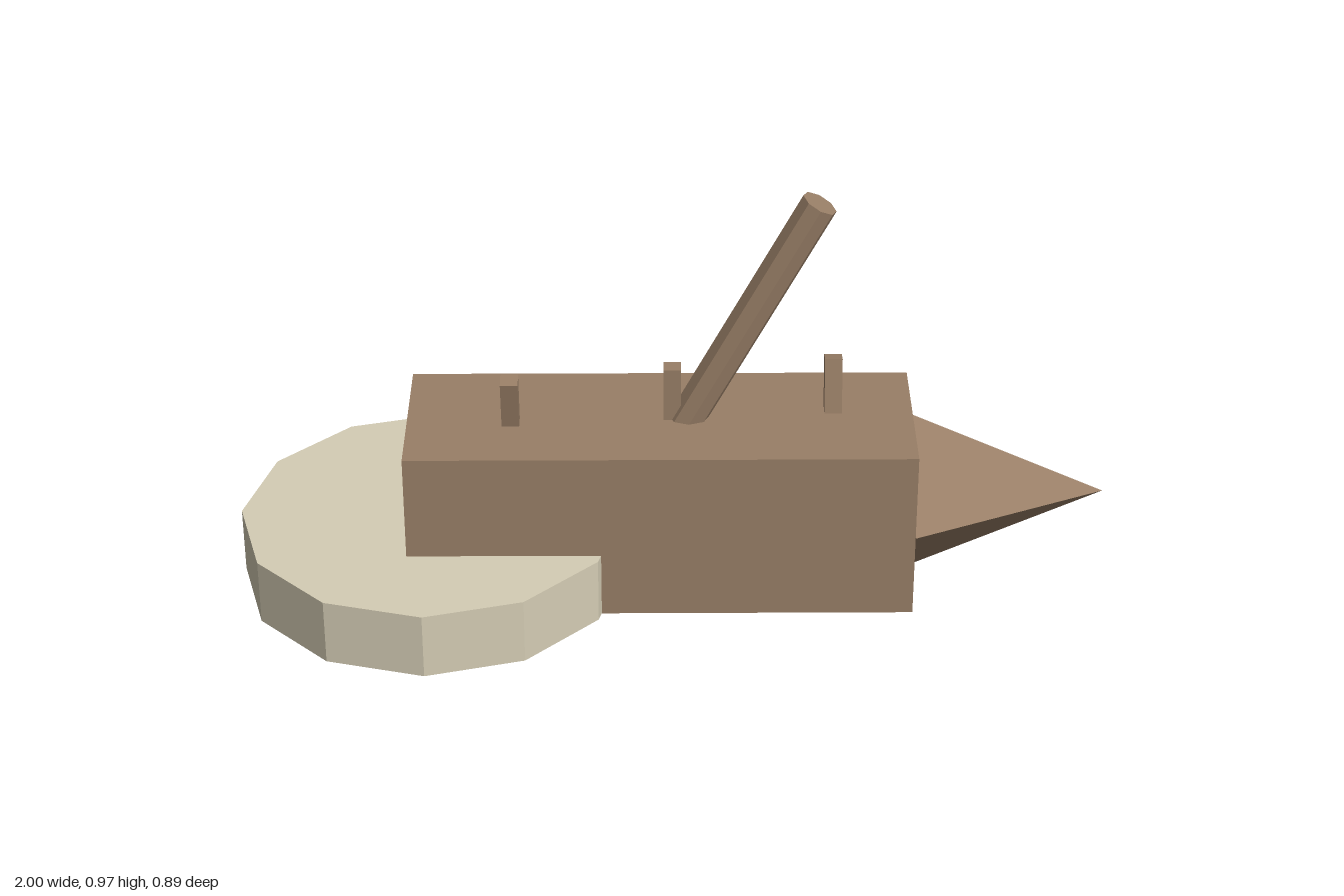
import * as THREE from 'three';

export function createModel() {
  const model = new THREE.Group();
  const wood = new THREE.MeshStandardMaterial({ color: 0x997f67, flatShading: true });
  const pale = new THREE.MeshStandardMaterial({ color: 0xd5cdb5, flatShading: true });

  const add = (name, geometry, material, x, y, z = 0) => {
    const mesh = new THREE.Mesh(geometry, material);
    mesh.name = name;
    mesh.position.set(x, y, z);
    model.add(mesh);
    return mesh;
  };

  // Long block and the twelve-sided disc under its end
  add('body', new THREE.BoxGeometry(1.155, 0.41, 0.394), wood, -0.0275, 0.205);
  add('disc', new THREE.CylinderGeometry(0.445, 0.445, 0.157, 12), pale, -0.555, 0.0785);

  // Four-sided point, corners up, down and to the sides
  add('point', new THREE.ConeGeometry(0.205, 0.447, 4), wood, 0.7735, 0.205)
    .rotation.z = -Math.PI / 2;

  // Leaning octagonal pole, its foot sunk in the body
  const tilt = 0.49, length = 0.72;
  add('pole', new THREE.CylinderGeometry(0.042, 0.042, length, 8), wood,
    0.325 - Math.sin(tilt) * length / 2, 0.949 - Math.cos(tilt) * length / 2)
    .rotation.z = -tilt;

  // Three pegs fanned to either side about a pivot inside the body
  const pegGeometry = new THREE.BoxGeometry(0.04, 0.2, 0.04).translate(0, 0.165, 0);
  for (const i of [-1, 0, 1]) {
    add('peg', pegGeometry, wood, i * 0.368, 0.274).rotation.x = -i * 0.2;
  }

  return model;
}
